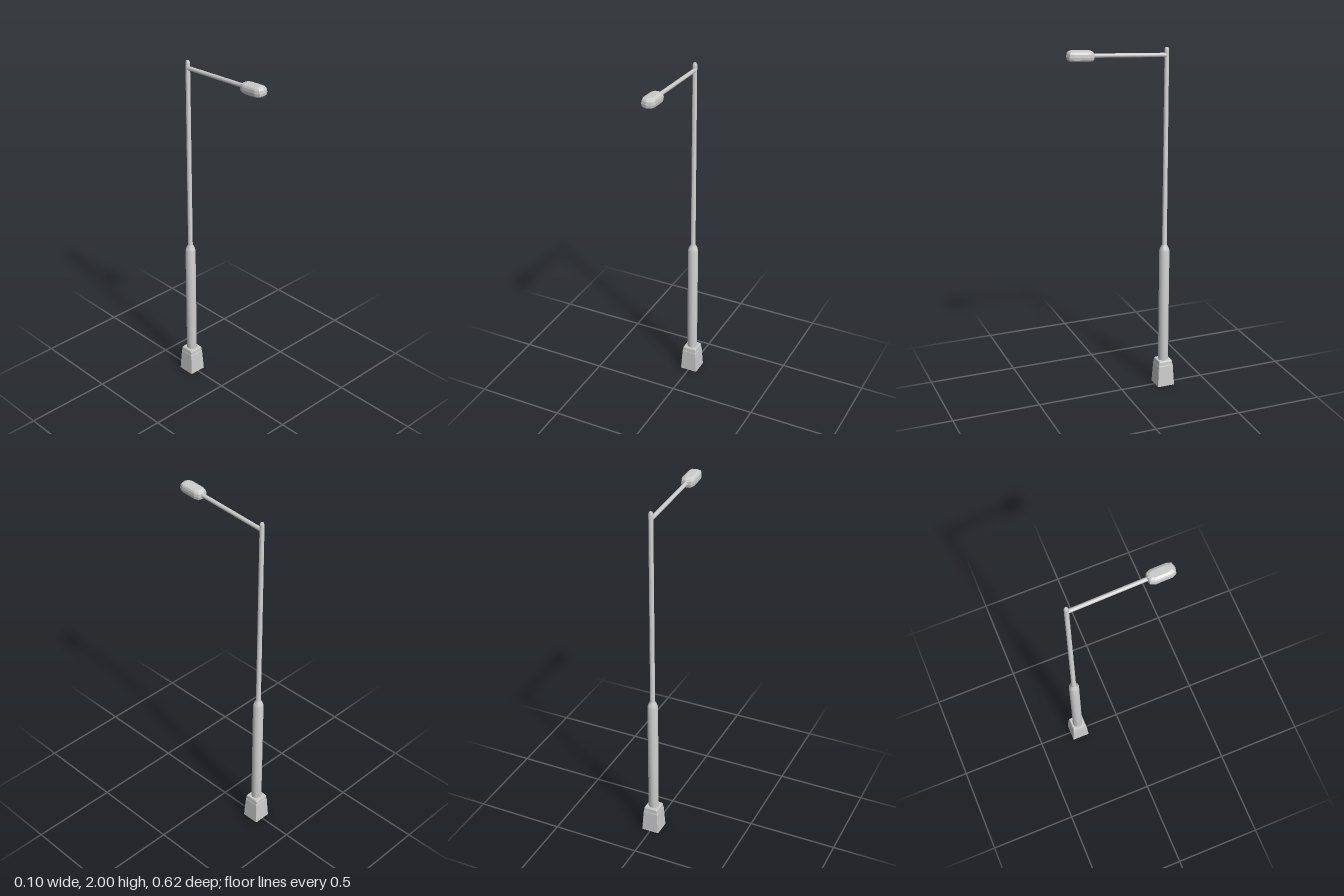
import * as THREE from 'three';
import { toCreasedNormals } from 'three/addons/utils/BufferGeometryUtils.js';

const POLE_Z = -0.257;
const mat = new THREE.MeshStandardMaterial({ color: 0xcccccc });
const flat = new THREE.MeshStandardMaterial({ color: 0xcccccc, flatShading: true });

// Closed solid from an outline [x, z], repeated at levels [y, scaleX, scaleZ]
function loft(outline, levels) {
  const n = outline.length, pos = [], idx = [];
  for (const [y, sx, sz] of levels) for (const [x, z] of outline) pos.push(x * sx, y, z * sz);
  for (let l = 0; l < levels.length - 1; l++) {
    for (let i = 0; i < n; i++) {
      const a = l * n + i, b = l * n + (i + 1) % n;
      idx.push(a, b, b + n, a, b + n, a + n);
    }
  }
  const top = (levels.length - 1) * n;
  for (let i = 1; i < n - 1; i++) idx.push(0, i + 1, i, top, top + i, top + i + 1);
  const g = new THREE.BufferGeometry();
  g.setAttribute('position', new THREE.Float32BufferAttribute(pos, 3));
  g.setIndex(idx);
  g.computeVertexNormals();
  return g;
}

function add(group, name, geometry, material) {
  const mesh = new THREE.Mesh(geometry, material);
  mesh.name = name;
  group.add(mesh);
  return mesh;
}

export function createModel() {
  const lamp = new THREE.Group();
  lamp.name = 'streetLamp';

  // Tapered square plinth with a bevelled cap
  const square = [[1, 0.94], [1, -0.94], [0.94, -1], [-0.94, -1], [-1, -0.94], [-1, 0.94], [-0.94, 1], [0.94, 1]];
  const plinth = loft(square, [[0, 0.051], [0.122, 0.044], [0.128, 0.042], [0.148, 0.0405], [0.154, 0.037]]
    .map(([y, s]) => [y, s, s]));
  add(lamp, 'base', plinth, flat).position.z = POLE_Z;

  // Thick lower pole, conical reducer, thin upper pole and rounded tip
  const profile = [[0, 0.14], [0.029, 0.14], [0.029, 0.825], [0.0245, 0.84], [0.0135, 0.86],
    [0.0125, 1.968], [0.0085, 1.978], [0, 1.98]].map(([r, y]) => new THREE.Vector2(r, y));
  const pole = toCreasedNormals(new THREE.LatheGeometry(profile, 16), 0.5);
  add(lamp, 'pole', pole, mat).position.z = POLE_Z;

  // Arm rising gently from the pole to the lamp head
  const from = new THREE.Vector3(0, 1.937, POLE_Z), to = new THREE.Vector3(0, 1.966, 0.18);
  const arm = add(lamp, 'arm', new THREE.CylinderGeometry(0.0115, 0.0115, from.distanceTo(to), 12), mat);
  arm.position.copy(from).add(to).multiplyScalar(0.5);
  arm.quaternion.setFromUnitVectors(new THREE.Vector3(0, 1, 0), to.clone().sub(from).normalize());

  // Faceted lamp head, tilted with the arm
  const half = [[0, 0.076], [0.028, 0.069], [0.038, 0.045], [0.038, -0.045], [0.028, -0.069], [0, -0.076]];
  const outline = [...half, ...half.slice(1, -1).reverse().map(([x, z]) => [-x, z])];
  const head = loft(outline, [[-0.0265, 0.74, 0.86], [-0.018, 0.94, 0.97], [-0.004, 1, 1],
    [0.012, 0.96, 0.97], [0.021, 0.84, 0.9], [0.0275, 0.5, 0.72]]);
  const headMesh = add(lamp, 'lampHead', head, flat);
  headMesh.position.set(0, 1.969, 0.231);
  headMesh.rotation.x = -0.066;

  return lamp;
}
